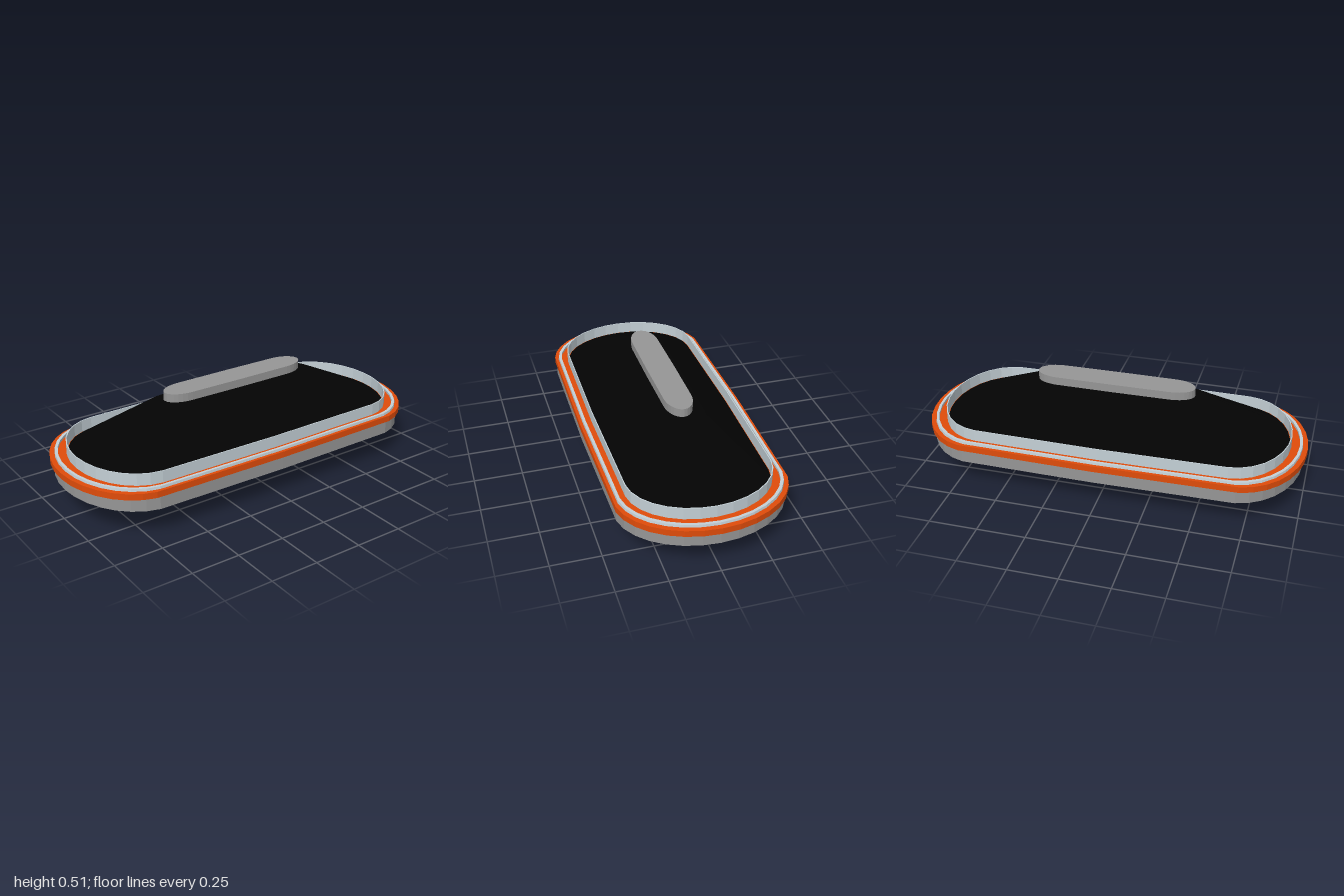
import * as THREE from 'three';

const SEG = 14;      // facets on each rounded end
const BULGE = 0.975; // width at the corners relative to the middle of the side

// Long rounded outline: half width, half length, depth of the rounded end
function outline([y, w, len, cap]) {
  const phi = Math.min(Math.PI / 2, 2 * Math.atan(cap / w) + 0.28);
  const pts = [];
  for (const side of [1, -1]) {
    for (let i = 0; i <= SEG; i++) {
      const a = phi * (2 * i / SEG - 1);
      const x = BULGE * w * Math.sin(a) / Math.sin(phi);
      const z = len - cap + cap * (Math.cos(a) - Math.cos(phi)) / (1 - Math.cos(phi));
      pts.push([side * x, y, side * z]);
    }
    // the long side is widest at its middle
    pts.push([side * w, y, 0]);
  }
  return pts;
}

// Skin through a list of outlines; ends may be closed
function loft(sections, closeBottom = false, closeTop = false) {
  const rings = sections.map(outline);
  const n = rings[0].length;
  const pos = [];
  const tri = (a, b, c) => pos.push(...a, ...b, ...c);
  for (let i = 0; i < n; i++) {
    const j = (i + 1) % n;
    for (let k = 0; k + 1 < rings.length; k++) {
      const lo = rings[k], hi = rings[k + 1];
      tri(lo[i], lo[j], hi[j]);
      tri(lo[i], hi[j], hi[i]);
    }
    const first = rings[0], last = rings[rings.length - 1];
    if (closeBottom) tri([0, first[0][1], 0], first[j], first[i]);
    if (closeTop) tri([0, last[0][1], 0], last[i], last[j]);
  }
  const g = new THREE.BufferGeometry();
  g.setAttribute('position', new THREE.Float32BufferAttribute(pos, 3));
  g.computeVertexNormals();
  return g;
}

export function createModel() {
  const group = new THREE.Group();
  const mat = color => new THREE.MeshStandardMaterial({ color, flatShading: true, side: THREE.DoubleSide });
  const black = mat(0x030303), orange = mat(0xe04c0a), grey = mat(0x969696), silver = mat(0xc4d0d6);

  const add = (name, material, sections, bottom, top) => {
    const mesh = new THREE.Mesh(loft(sections, bottom, top), material);
    mesh.name = name;
    group.add(mesh);
  };

  // Foot and the shallow flare of the underside
  add('foot', black, [[0, 0.147, 0.415, 0.14], [0.09, 0.15, 0.415, 0.14]], true, false);
  add('undersideFlare', black, [[0.09, 0.15, 0.415, 0.14], [0.15, 0.427, 0.982, 0.28]]);

  // Wide grey body with a flat dark gasket under the flange
  add('bodyBand', grey, [[0.15, 0.427, 0.982, 0.28], [0.217, 0.427, 0.982, 0.28]]);
  add('gasket', black, [[0.217, 0.42, 0.975, 0.28], [0.217, 0.433, 1, 0.28]]);

  // Orange flange with a flat upper face
  add('flange', orange, [
    [0.217, 0.433, 1, 0.28], [0.249, 0.433, 1, 0.28], [0.249, 0.355, 0.9, 0.26],
  ]);

  // Raised bead running around the flange
  add('flangeBead', silver, [
    [0.249, 0.417, 0.975, 0.28], [0.262, 0.415, 0.973, 0.28],
    [0.262, 0.401, 0.959, 0.28], [0.249, 0.401, 0.959, 0.28],
  ]);

  // Thin upright frame around the cover
  add('frame', silver, [
    [0.249, 0.37, 0.917, 0.265], [0.31, 0.37, 0.917, 0.265],
    [0.31, 0.365, 0.912, 0.263], [0.249, 0.365, 0.912, 0.263],
  ]);

  // Sloping cover with a softer shoulder
  add('cover', black, [
    [0.25, 0.362, 0.909, 0.26], [0.45, 0.125, 0.495, 0.14],
    [0.472, 0.072, 0.414, 0.12],
  ]);

  // Long rounded cap on top
  add('topCap', grey, [[0.47, 0.072, 0.415, 0.12], [0.515, 0.072, 0.415, 0.12]], true, true);

  return group;
}
